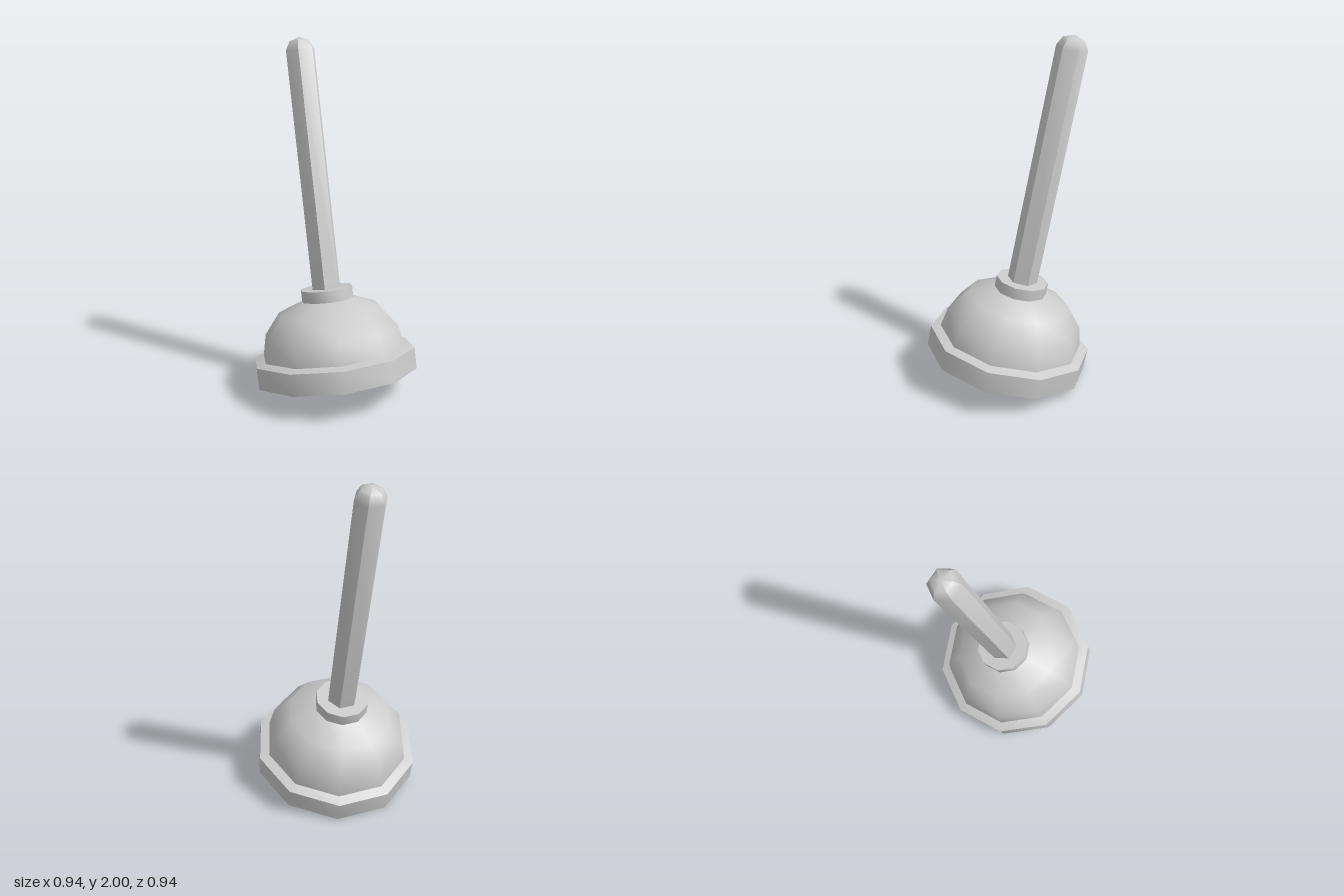
import * as THREE from 'three';
import { toCreasedNormals } from 'three/addons/utils/BufferGeometryUtils.js';

const rad = THREE.MathUtils.degToRad;

// Solid of revolution from [radius, height] pairs, smooth round the sides, sharp at hard edges
function turned(name, profile, sides, startDeg, material) {
  const points = profile.map(([r, h]) => new THREE.Vector2(r, h));
  const geometry = new THREE.LatheGeometry(points, sides, rad(startDeg));
  const mesh = new THREE.Mesh(toCreasedNormals(geometry, rad(50)), material);
  mesh.name = name;
  return mesh;
}

export function createModel() {
  const material = new THREE.MeshStandardMaterial({ color: 0xcccccc });
  const model = new THREE.Group();
  model.name = 'plunger';

  // Everything shares one axis that leans backwards
  const leaning = new THREE.Group();
  leaning.name = 'leaningBody';
  leaning.position.set(0, 0.1, 0.01);
  leaning.rotation.set(rad(-12), 0, rad(-0.5));
  model.add(leaning);

  // Rubber cup: flat base, wide rim, dome and collar
  leaning.add(turned('cup', [
    [0, 0], [0.475, 0], [0.475, 0.122], [0.42, 0.138],
    [0.395, 0.255], [0.298, 0.38], [0.152, 0.44],
    [0.152, 0.506], [0, 0.506],
  ], 10, 9.8, material));

  // Six-sided handle with a blunt tip
  leaning.add(turned('handle', [
    [0.087, 0.48], [0.087, 1.87], [0.06, 1.92], [0, 1.941],
  ], 6, 22, material));

  return model;
}
